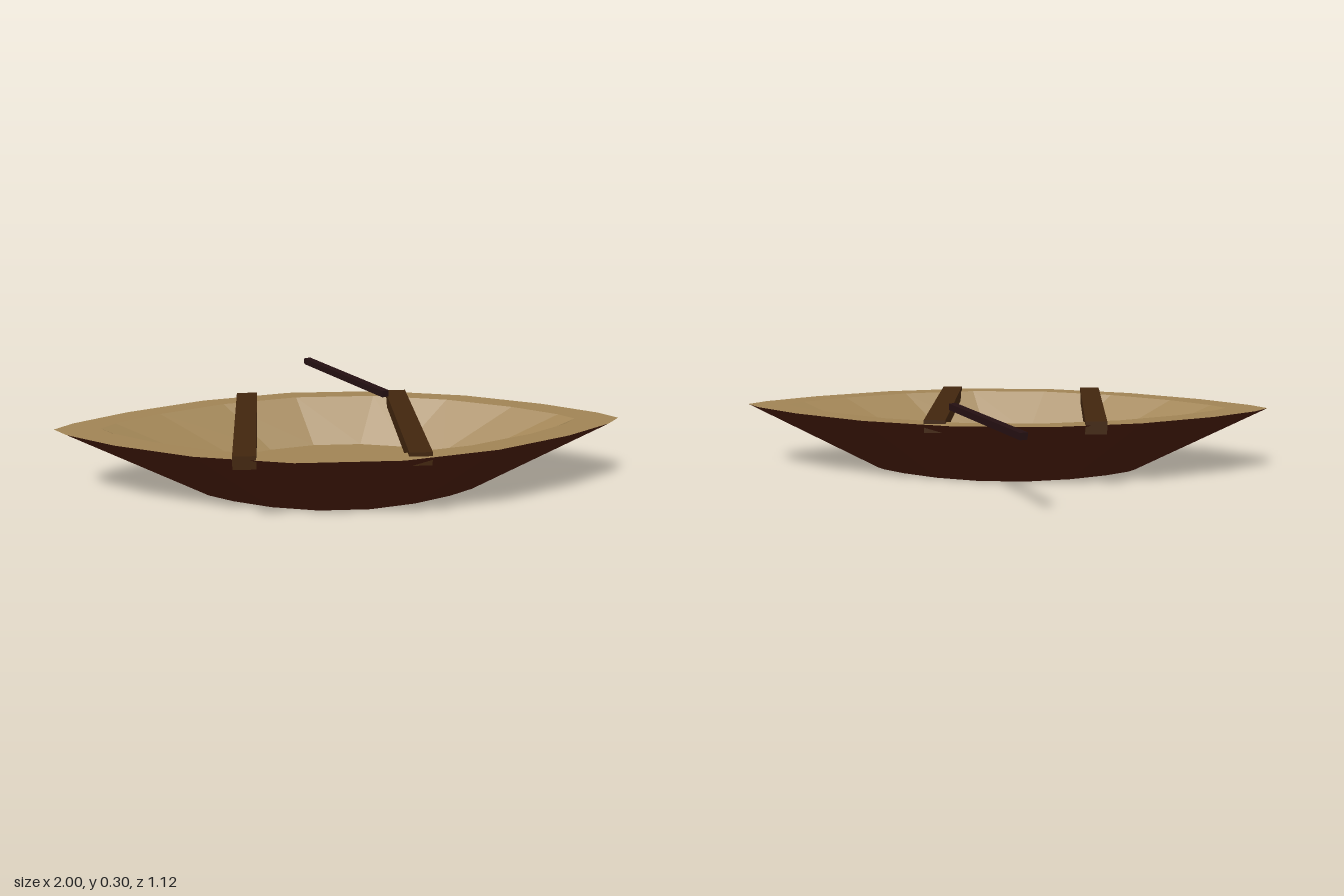
import * as THREE from 'three';

const flat = (name, color) => {
  const m = new THREE.MeshStandardMaterial({ color });
  m.name = name;
  return m;
};

// Closed ring of the hull outline, mirrored from one quadrant (x, half width)
function outline() {
  const quarter = [[0.945, 0.064], [0.77, 0.183], [0.5, 0.311], [0.176, 0.393]];
  const back = [...quarter].reverse();
  return [
    [1, 0], ...quarter, ...back.map(([x, z]) => [-x, z]),
    [-1, 0], ...quarter.map(([x, z]) => [-x, -z]), ...back.map(([x, z]) => [x, -z]),
  ];
}

// Faceted skin joining scaled copies of the outline; levels are [scale, y]
function skin(levels) {
  const ring = outline();
  const pos = [];
  const point = ([s, y], i) => {
    const [x, z] = ring[i % ring.length];
    return [x * s, y, z * s];
  };
  for (let l = 0; l < levels.length - 1; l++) {
    const a = levels[l], b = levels[l + 1];
    for (let i = 0; i < ring.length; i++) {
      if (b[0] > 0) pos.push(...point(a, i), ...point(b, i), ...point(b, i + 1));
      if (a[0] > 0) pos.push(...point(a, i), ...point(b, i + 1), ...point(a, i + 1));
    }
  }
  const g = new THREE.BufferGeometry();
  g.setAttribute('position', new THREE.Float32BufferAttribute(pos, 3));
  g.computeVertexNormals();
  return g;
}

export function createModel() {
  const hullPaint = flat('dark red brown', 0x491c0b);
  const innerWood = flat('tan wood', 0xa08455);
  const seatWood = flat('brown wood', 0x42260e);
  const oarWood = flat('blackish brown wood', 0x241012);

  const boat = new THREE.Group();
  boat.name = 'rowingBoat';
  const add = (name, geometry, material, x, y, z) => {
    const mesh = new THREE.Mesh(geometry, material);
    mesh.name = name;
    mesh.position.set(x, y, z);
    boat.add(mesh);
    return mesh;
  };

  // Outside of the hull, with its flat bottom
  add('hull', skin([[0, 0], [0.5, 0], [1, 0.248]]), hullPaint, 0, 0, 0.17);
  // Gunwale, sloping inner walls and floor
  add('hullInterior', skin([[1, 0.248], [0.84, 0.248], [0.5, 0.1], [0, 0.1]]), innerWood, 0, 0, 0.17);

  // Plank seats across the gunwale
  for (const [name, x] of [['rightSeat', -0.335], ['leftSeat', 0.235]]) {
    add(name, new THREE.BoxGeometry(0.077, 0.046, 0.714), seatWood, x, 0.239, 0.17);
  }

  // Oar lying at an angle over the side
  const oar = add('oar', new THREE.BoxGeometry(0.028, 0.024, 0.57), oarWood, 0.047, 0.287, -0.305);
  oar.rotation.y = Math.atan2(0.27, 0.495);

  return boat;
}
